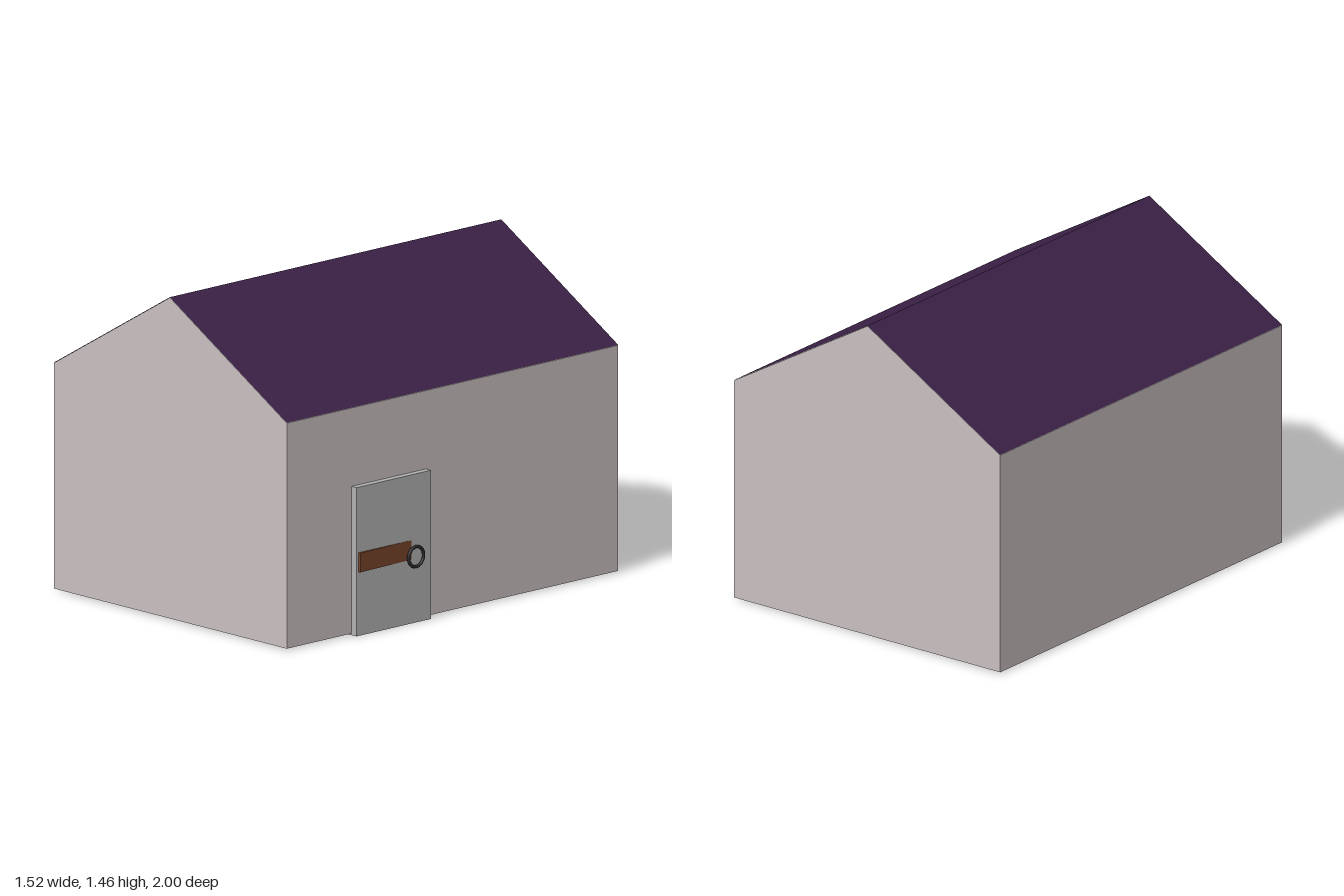
import * as THREE from 'three';

const X0 = -0.765, X1 = 0.71, RIDGE = -0.03; // side walls and ridge line
const BASE = 0.007, EAVE = 1.025, TOP = 1.455, T = 0.04;

const mat = (color, side = THREE.FrontSide) =>
  new THREE.MeshStandardMaterial({ color, side, flatShading: true });

export function createModel() {
  const group = new THREE.Group();
  const wallMat = mat(0xc9bfc1);
  const roofMat = mat(0x3b2146, THREE.DoubleSide);
  const doorMat = mat(0xb0b1b0);

  const add = (name, geometry, material) => {
    const mesh = new THREE.Mesh(geometry, material);
    mesh.name = name;
    group.add(mesh);
    return mesh;
  };
  // box given by its two extreme corners
  const box = (name, [ax, ay, az], [bx, by, bz], material) => {
    const mesh = add(name, new THREE.BoxGeometry(bx - ax, by - ay, bz - az), material);
    mesh.position.set((ax + bx) / 2, (ay + by) / 2, (az + bz) / 2);
    return mesh;
  };

  // gable end walls, just under the roof panels
  const gable = new THREE.Shape([
    [X0, BASE], [X1, BASE], [X1, EAVE - 0.002], [RIDGE, TOP - 0.002], [X0, EAVE - 0.002],
  ].map(([x, y]) => new THREE.Vector2(x, y)));
  const gableGeo = new THREE.ExtrudeGeometry(gable, { depth: T, bevelEnabled: false });
  add('frontGable', gableGeo, wallMat).position.z = 1 - T;
  add('backGable', gableGeo, wallMat).position.z = -1;

  // side walls
  box('leftWall', [X1 - T, BASE, -1 + T], [X1, EAVE - 0.002, 1 - T], wallMat);
  box('rightWall', [X0, BASE, -1 + T], [X0 + T, EAVE - 0.002, 1 - T], wallMat);

  // floor between the walls
  box('floor', [X0 + T, BASE, -1 + T], [X1 - T, BASE + 0.02, 1 - T], mat(0x3a2112));

  // thin roof panels from eave to ridge
  for (const [name, eaveX] of [['leftRoof', X1], ['rightRoof', X0]]) {
    const dx = eaveX - RIDGE, dy = EAVE - TOP;
    const panel = add(name, new THREE.PlaneGeometry(Math.hypot(dx, dy), 2).rotateX(-Math.PI / 2), roofMat);
    panel.position.set((eaveX + RIDGE) / 2, (EAVE + TOP) / 2, 0);
    panel.rotation.z = Math.atan(dy / dx);
  }

  // door set through the left wall
  box('door', [0.61, 0, 0.16], [0.742, 0.67, 0.61], doorMat);

  // wooden bar, leaning slightly out at its far end
  const bar = box('doorBar', [0.736, 0.288, 0.28], [0.748, 0.375, 0.598], mat(0x7a452c));
  bar.rotation.y = 0.035;

  // ring handle
  const ring = add('ringHandle', new THREE.TorusGeometry(0.045, 0.007, 10, 40).rotateY(Math.PI / 2),
    new THREE.MeshStandardMaterial({ color: 0x2a2a2e }));
  ring.position.set(0.752, 0.3, 0.26);

  return group;
}
